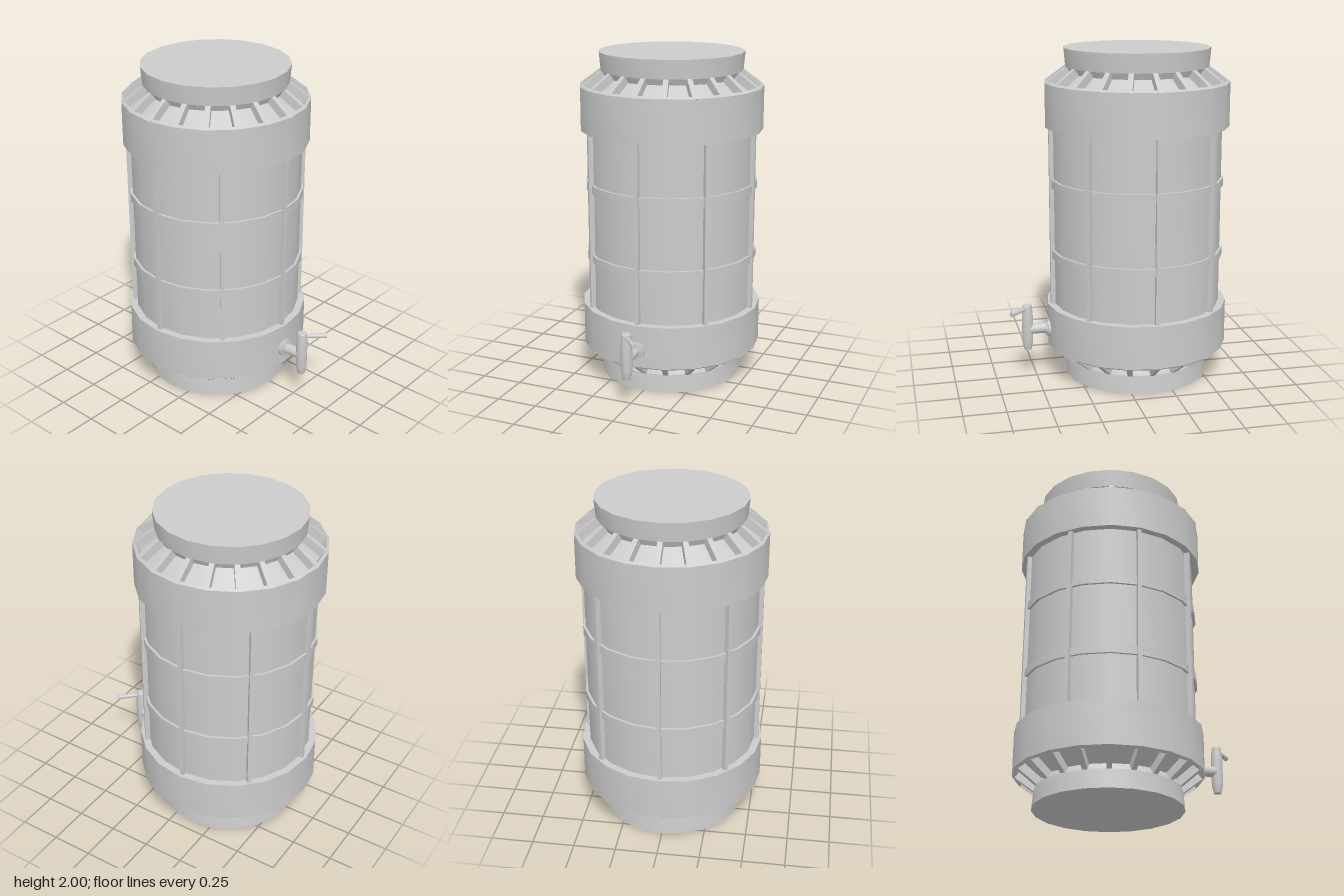
import * as THREE from 'three';
import { toCreasedNormals } from 'three/addons/utils/BufferGeometryUtils.js';

const SIDES = 20;
const AXIS_X = -0.125; // barrel axis
const material = new THREE.MeshStandardMaterial({ color: 0xcccccc });

function mesh(name, geometry) {
  const m = new THREE.Mesh(geometry, material);
  m.name = name;
  return m;
}

// Turned part from [radius, y] pairs, listed bottom to top
function turned(name, profile, sides = SIDES) {
  const points = profile.map(([r, y]) => new THREE.Vector2(r, y));
  return mesh(name, toCreasedNormals(new THREE.LatheGeometry(points, sides), 0.4));
}

// One barrel end, with y measured from the barrel's middle
function barrelEnd(name) {
  const end = new THREE.Group();
  end.name = name;
  end.add(turned('endBand', [[0.49, 0.54], [0.55, 0.54], [0.55, 0.8], [0.535, 0.811]]));
  end.add(turned('recessedPanels', [[0.535, 0.811], [0.507, 0.773], [0.4, 0.853], [0.42, 0.895]]));
  end.add(turned('endCap', [[0.4, 0.89], [0.425, 0.89], [0.435, 1], [0, 1]]));

  // Sloping ribs between the panels
  const width = 0.03;
  const section = new THREE.Shape([[0.55, 0.8], [0.425, 0.892], [0.39, 0.85], [0.5, 0.765]]
    .map(([x, y]) => new THREE.Vector2(x, y)));
  const ribGeometry = new THREE.ExtrudeGeometry(section, { depth: width, bevelEnabled: false });
  ribGeometry.translate(0, 0, -width / 2);
  for (let i = 0; i < SIDES; i++) {
    const rib = mesh('slopingRib', ribGeometry);
    rib.rotation.y = (i / SIDES) * Math.PI * 2;
    end.add(rib);
  }
  return end;
}

function createTap() {
  const tap = new THREE.Group();
  tap.name = 'tap';

  // Wall flange and pipe, turned about the x axis
  const pipe = turned('pipe', [
    [0, 0.4], [0.055, 0.4], [0.055, 0.432], [0.042, 0.434], [0.042, 0.443],
    [0.032, 0.443], [0.032, 0.553], [0, 0.553],
  ], 16);
  pipe.rotation.z = -Math.PI / 2;
  pipe.position.y = 0.305;
  tap.add(pipe);

  // Upright valve body and spout
  const spout = turned('spout', [
    [0, 0.175], [0.022, 0.175], [0.033, 0.225], [0.034, 0.38], [0.028, 0.455], [0.025, 0.46], [0, 0.46],
  ], 16);
  spout.position.x = 0.553;
  tap.add(spout);

  // Lever, pointing outward and back
  const from = new THREE.Vector3(0.555, 0.438, 0);
  const to = new THREE.Vector3(0.662, 0.438, -0.1);
  const direction = to.clone().sub(from);
  const lever = mesh('lever', new THREE.CylinderGeometry(0.016, 0.011, direction.length(), 12));
  lever.position.copy(from).add(to).multiplyScalar(0.5);
  lever.quaternion.setFromUnitVectors(new THREE.Vector3(0, 1, 0), direction.normalize());
  tap.add(lever);
  return tap;
}

export function createModel() {
  const model = new THREE.Group();
  model.name = 'barrelWithTap';

  const barrel = new THREE.Group();
  barrel.name = 'barrel';
  barrel.position.set(AXIS_X, 1, 0);
  model.add(barrel);

  barrel.add(turned('body', [[0.507, -0.56], [0.507, 0.56]]));

  // Two hoops
  for (const y of [-0.23, 0.205]) {
    barrel.add(turned('hoop', [[0.5, y - 0.025], [0.521, y - 0.025], [0.521, y + 0.025], [0.5, y + 0.025]]));
  }

  // Eight upright ribs
  for (let i = 0; i < 8; i++) {
    const rib = mesh('uprightRib', new THREE.BoxGeometry(0.04, 1.1, 0.024).translate(0.511, 0, 0));
    rib.rotation.y = (i / 8) * Math.PI * 2;
    barrel.add(rib);
  }

  // Matching ends
  const bottom = barrelEnd('bottomEnd');
  bottom.rotation.x = Math.PI;
  barrel.add(barrelEnd('topEnd'), bottom);

  model.add(createTap());
  return model;
}
